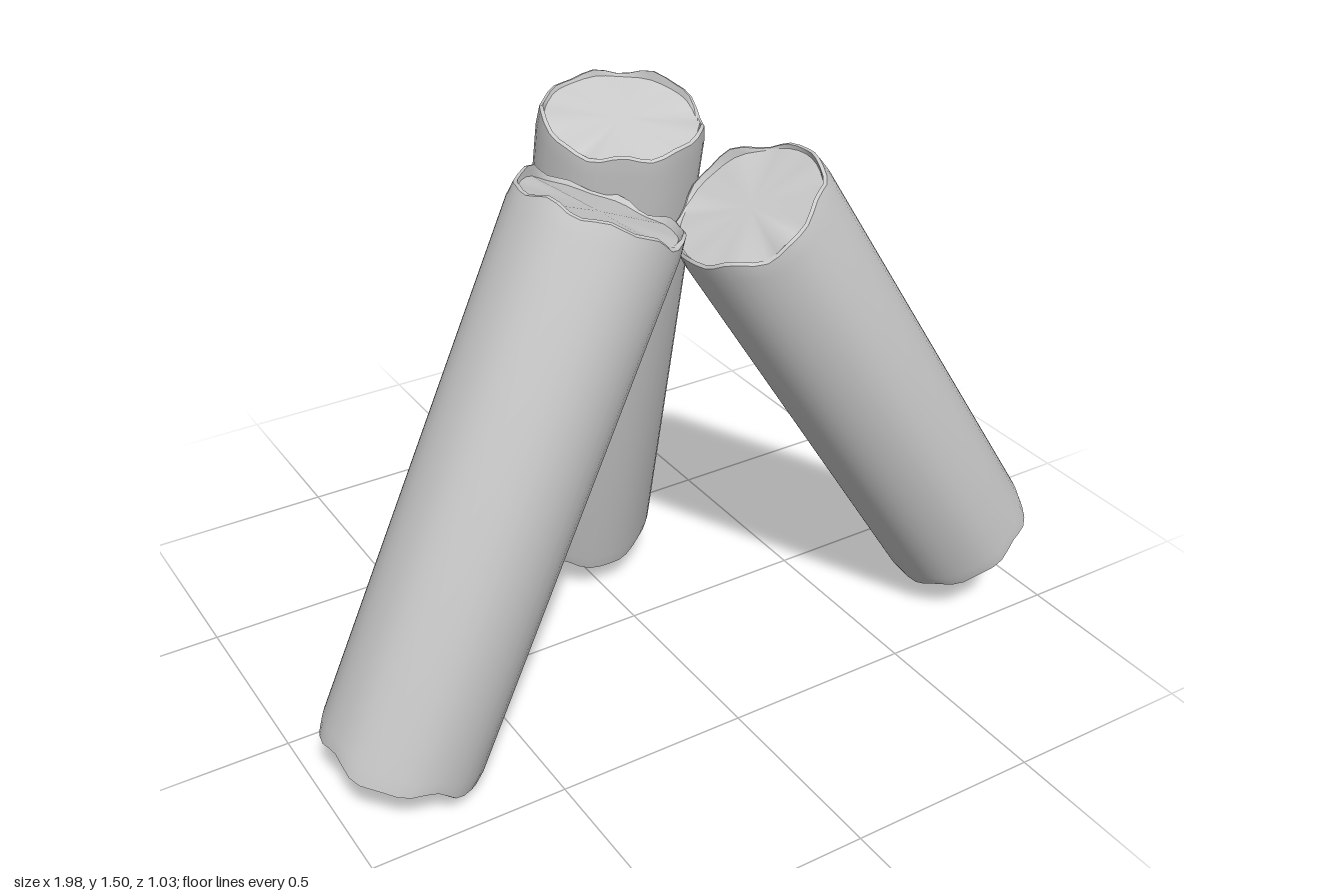
import * as THREE from 'three';
import { toCreasedNormals } from 'three/addons/utils/BufferGeometryUtils.js';

// Ragged edge height around the rim of a cut end
function ragged(a, seed) {
  return 0.008 * Math.sin(3 * a + seed) + 0.007 * Math.sin(5 * a + seed * 2.3)
    + 0.006 * Math.sin(9 * a + seed * 1.7);
}

// A log along y: straight bark, worn ragged rims, slightly sunken cut faces
function logGeometry(r, length, seed) {
  const h = length / 2;
  // half profile from cut face centre to bark: radius factor, distance from end, raggedness
  const end = [[0, 0.012, 0], [0.91, 0.012, 0.3], [0.935, 0, 1], [0.975, 0.004, 1], [1, 0.045, 0.5]];
  const profile = [
    ...end.map(([k, d]) => new THREE.Vector2(k * r, -h + d)),
    ...end.slice().reverse().map(([k, d]) => new THREE.Vector2(k * r, h - d)),
  ];
  const weights = [...end, ...end.slice().reverse()].map((e) => e[2]);
  const geo = new THREE.LatheGeometry(profile, 40);
  const p = geo.attributes.position;
  for (let i = 0; i < p.count; i++) {
    const ring = i % profile.length;
    const a = (Math.floor(i / profile.length) / 40) * Math.PI * 2;
    const bump = 1 + 0.008 * Math.sin(2 * a + seed) + 0.005 * Math.sin(7 * a + seed * 3);
    const lift = weights[ring] * ragged(a, seed + (ring < end.length ? 0 : 2.6));
    p.setXYZ(i, p.getX(i) * bump, p.getY(i) + lift, p.getZ(i) * bump);
  }
  return toCreasedNormals(geo, 0.6);
}

export function createModel() {
  const group = new THREE.Group();
  group.name = 'leaningLogs';
  const material = new THREE.MeshStandardMaterial({ color: 0xcccccc, side: THREE.DoubleSide });

  // name, centre of lower end, centre of upper end, radius
  const logs = [
    ['rightLog', [-0.82, 0.09, 0.27], [-0.25, 1.372, 0.27], 0.202],
    ['leftLog', [0.838, 0.185, 0.32], [0.105, 1.315, 0.32], 0.197],
    ['backLog', [0.01, 0.135, -0.33], [-0.03, 1.452, -0.005], 0.197],
  ];
  logs.forEach(([name, lower, upper, radius], i) => {
    const a = new THREE.Vector3(...lower);
    const b = new THREE.Vector3(...upper);
    const axis = b.clone().sub(a);
    const log = new THREE.Mesh(logGeometry(radius, axis.length(), 1 + i * 1.9), material);
    log.name = name;
    log.position.copy(a).add(b).multiplyScalar(0.5);
    log.quaternion.setFromUnitVectors(new THREE.Vector3(0, 1, 0), axis.normalize());
    group.add(log);
  });
  return group;
}
